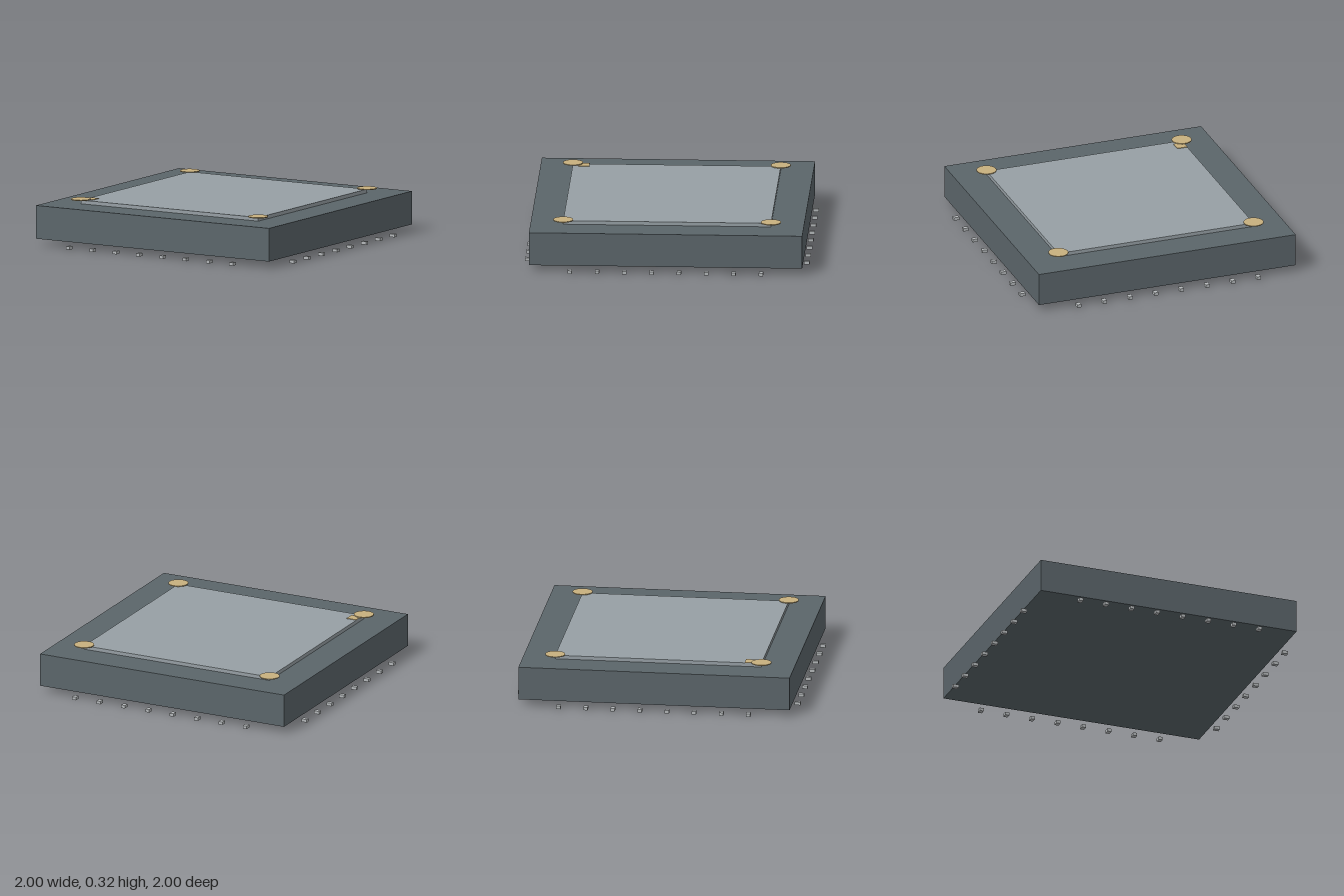
import * as THREE from 'three';

const mat = (name, color) => new THREE.MeshStandardMaterial({ name, color });

export function createModel() {
  const slate = mat('slate', 0x5b656a);
  const grey = mat('grey', 0x969fa4);
  const gold = mat('gold', 0xc8b07e);
  const silver = mat('silver', 0xb4b8ba);
  const model = new THREE.Group();
  model.name = 'chipPackage';

  const add = (name, geometry, material, x, y, z, parent = model) => {
    const mesh = new THREE.Mesh(geometry, material);
    mesh.name = name;
    mesh.position.set(x, y, z);
    parent.add(mesh);
    return mesh;
  };
  // Box given by its bottom and top heights
  const slab = (name, w, d, y0, y1, material, x = 0, z = 0, parent = model) =>
    add(name, new THREE.BoxGeometry(w, y1 - y0, d), material, x, (y0 + y1) / 2, z, parent);

  // Package body, raised lid and orientation mark
  slab('body', 1.92, 1.92, 0.048, 0.284, slate);
  slab('lid', 1.46, 1.46, 0.284, 0.31, grey);
  slab('orientationMark', 0.075, 0.075, 0.308, 0.314, gold, -0.692, 0.65);

  // Thin discs over the lid corners
  const disc = new THREE.CylinderGeometry(0.07, 0.07, 0.006, 24);
  for (const x of [-0.73, 0.73])
    for (const z of [-0.73, 0.73]) add('cornerDisc', disc, gold, x, 0.317, z);

  // Eight contact pads along each of the four sides
  for (let side = 0; side < 4; side++) {
    const row = new THREE.Group();
    row.name = 'padRow';
    row.rotation.y = side * Math.PI / 2;
    for (let i = 0; i < 8; i++)
      slab('pad', 0.03, 0.04, 0, 0.022, silver, (i - 3.5) * 0.192, 0.98, row);
    model.add(row);
  }
  return model;
}
